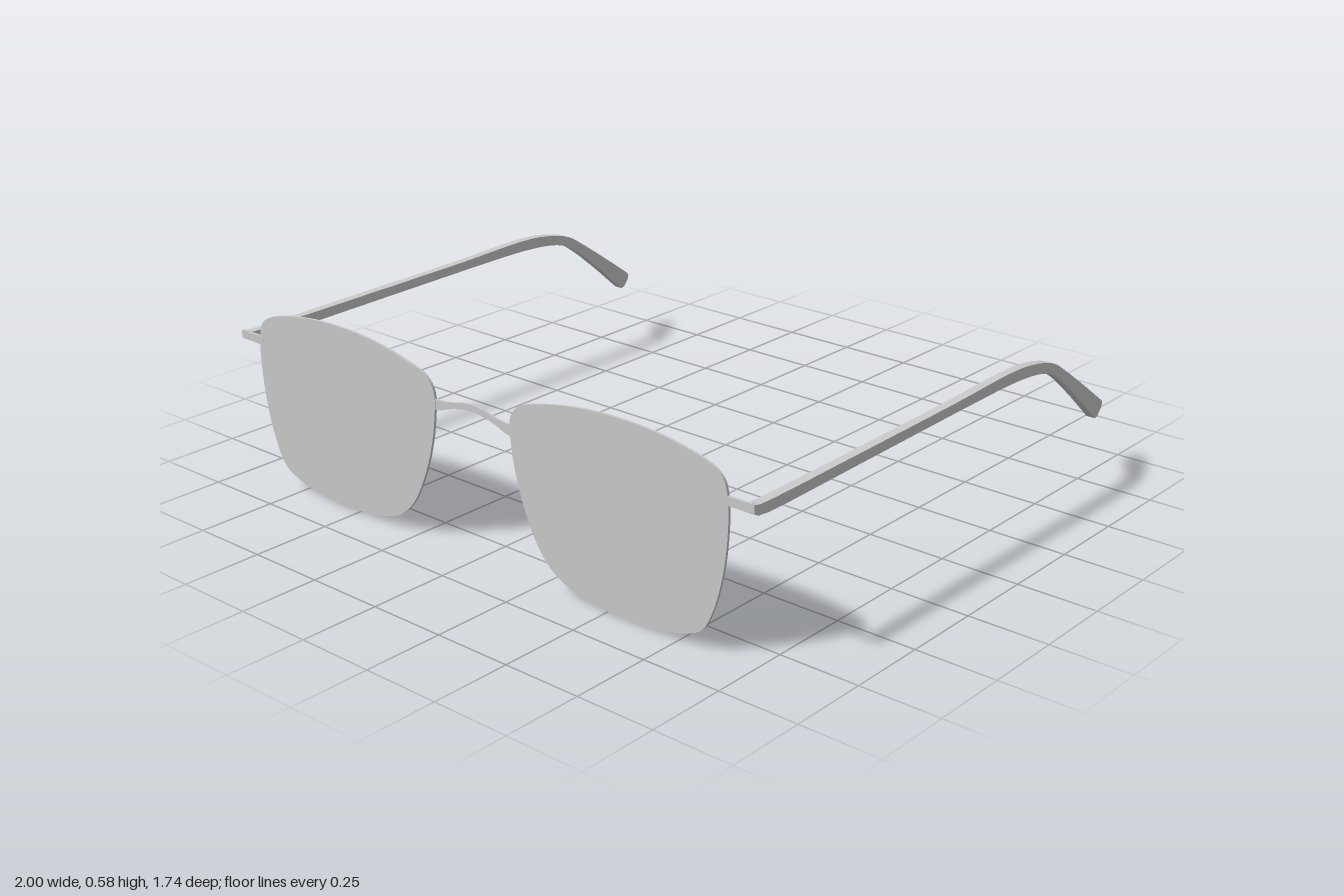
import * as THREE from 'three';

const grey = new THREE.MeshStandardMaterial({ color: 0xcccccc });
const vectors = (pts, sx = 1) => pts.map(([x, y]) => new THREE.Vector2(sx * x, y));

function plate(name, points, depth, steps = 1) {
  const geometry = new THREE.ExtrudeGeometry(new THREE.Shape(points), { depth, bevelEnabled: false, steps });
  const mesh = new THREE.Mesh(geometry, grey);
  mesh.name = name;
  return mesh;
}

// Lens outline on the +x side, from the inner top corner around
const LENS = [
  [0.15, 0.476], [0.18, 0.518], [0.26, 0.545], [0.393, 0.571], [0.55, 0.581], [0.714, 0.571],
  [0.855, 0.54], [0.898, 0.512], [0.914, 0.465], [0.916, 0.37], [0.899, 0.235], [0.863, 0.115],
  [0.83, 0.062], [0.767, 0.032], [0.66, 0.011], [0.55, 0.005], [0.393, 0.024], [0.313, 0.053],
  [0.255, 0.107], [0.206, 0.198], [0.172, 0.294], [0.152, 0.396],
];

// Temple arm side profile as [z, y]: upper edge, rounded tip, lower edge
const TOP_EDGE = [[0.866, 0.468], [0.795, 0.461], [0.4, 0.465], [0, 0.47], [-0.2, 0.476], [-0.3, 0.478],
  [-0.39, 0.475], [-0.484, 0.461], [-0.56, 0.438], [-0.62, 0.402], [-0.74, 0.32], [-0.866, 0.23]];
const TIP = [[-0.87, 0.22], [-0.866, 0.208], [-0.845, 0.184], [-0.832, 0.181]];
const LOWER_EDGE = [[-0.82, 0.19], [-0.71, 0.286], [-0.6, 0.374], [-0.53, 0.414], [-0.437, 0.434], [-0.3, 0.442],
  [-0.1, 0.441], [0, 0.44], [0.4, 0.434], [0.795, 0.429], [0.866, 0.443]];

// Bridge edges for x >= 0, outermost first
const BRIDGE_TOP = [[0.17, 0.457], [0.13, 0.456], [0.088, 0.461], [0.04, 0.472], [0, 0.476]];
const BRIDGE_LOW = [[0.17, 0.422], [0.13, 0.426], [0.088, 0.441], [0.04, 0.452], [0, 0.455]];
const mirrored = (half) => [...half, ...half.slice(0, -1).reverse().map(([x, y]) => [-x, y])];

const smooth = (pts) => new THREE.SplineCurve(vectors(pts)).getPoints(32);

export function createModel() {
  const model = new THREE.Group();
  model.name = 'glasses';

  for (const [side, s] of [['left', 1], ['right', -1]]) {
    // Flat lens with a smooth closed outline
    const loop = new THREE.CatmullRomCurve3(LENS.map(([x, y]) => new THREE.Vector3(s * x, y, 0)), true, 'centripetal');
    const outline = loop.getPoints(88).slice(0, -1).map((p) => new THREE.Vector2(p.x, p.y));
    const lens = plate(side + 'Lens', outline, 0.008);
    lens.position.z = 0.857;
    model.add(lens);

    // Hinge strip between lens and temple
    const hinge = new THREE.Mesh(new THREE.BoxGeometry(0.09, 0.026, 0.009), grey);
    hinge.name = side + 'Hinge';
    hinge.position.set(s * 0.945, 0.454, 0.8612);
    model.add(hinge);

    // Temple arm, its profile extruded sideways
    const temple = plate(side + 'Temple', [...smooth(TOP_EDGE), ...vectors(TIP), ...smooth(LOWER_EDGE)], 0.028);
    temple.geometry.rotateY(-Math.PI / 2);
    temple.position.x = s > 0 ? 1 : -0.972;
    model.add(temple);
  }

  // Arched nose bridge
  const bridge = plate('bridge', [...smooth(mirrored(BRIDGE_TOP)), ...smooth(mirrored(BRIDGE_LOW)).reverse()], 0.007);
  bridge.position.z = 0.8563;
  model.add(bridge);

  return model;
}
